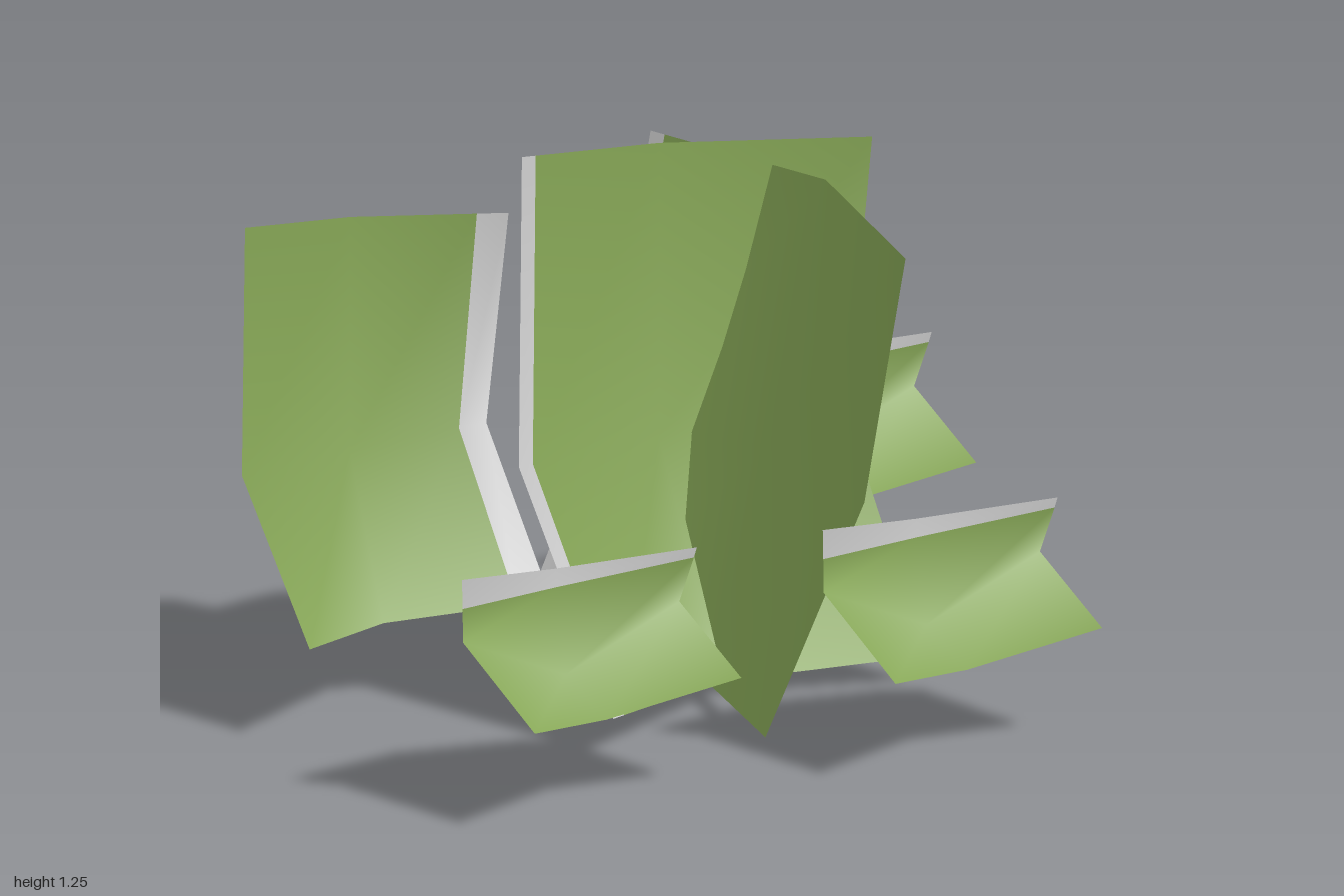
import * as THREE from 'three';

const green = new THREE.MeshStandardMaterial({ color: 0x86a656, side: THREE.DoubleSide });
green.name = 'leafGreen';
const grey = new THREE.MeshStandardMaterial({ color: 0xd0d0d0, side: THREE.DoubleSide });
grey.name = 'paleGrey';

// Smooth sheet from rows of points (top to bottom); isEdge picks the pale cells
function sheet(name, rows, isEdge) {
  const n = rows[0].length;
  const cells = [[], []];
  for (let r = 0; r < rows.length - 1; r++) {
    for (let c = 0; c < n - 1; c++) {
      const a = r * n + c, b = a + n;
      cells[isEdge(r, c) ? 1 : 0].push(a, b, a + 1, a + 1, b, b + 1);
    }
  }
  const geo = new THREE.BufferGeometry();
  geo.setAttribute('position', new THREE.Float32BufferAttribute(rows.flat(2), 3));
  geo.setIndex(cells.flat());
  geo.addGroup(0, cells[0].length, 0);
  geo.addGroup(cells[0].length, cells[1].length, 1);
  geo.computeVertexNormals();
  const mesh = new THREE.Mesh(geo, [green, grey]);
  mesh.name = name;
  return mesh;
}

// Bent blade of three columns with a pale strip along its first or last column
function blade(name, rows, width, last) {
  const mix = (p, q) => p.map((v, i) => v + (q[i] - v) * width);
  const split = rows.map(([a, b, c]) => last ? [a, b, mix(c, b), c] : [a, mix(a, b), b, c]);
  return sheet(name, split, (r, c) => c === (last ? 2 : 0));
}

export function createModel() {
  const model = new THREE.Group();
  model.name = 'grassTuft';

  // Tall blades: top, fold and bottom rows
  model.add(blade('frontBlade', [
    [[-0.43, 1.25, -0.26], [0.02, 1.175, -0.33], [0.46, 1.145, -0.14]],
    [[-0.43, 0.55, -0.27], [0.01, 0.52, -0.32], [0.44, 0.51, -0.2]],
    [[-0.48, 0.08, 0.1], [-0.02, 0.03, -0.08], [0.37, 0.06, 0.14]],
  ], 0.1, false));

  model.add(blade('crossBlade', [
    [[0.18, 1.12, -0.545], [0.285, 1.095, -0.09], [0.125, 1.055, 0.36]],
    [[0.04, 0.51, -0.545], [0.12, 0.52, -0.1], [0.03, 0.52, 0.335]],
    [[-0.23, 0.0, -0.55], [-0.03, 0.02, -0.11], [-0.225, 0.035, 0.305]],
  ], 0.08, false));

  model.add(blade('backBlade', [
    [[-0.88, 1.09, -0.65], [-0.53, 1.03, -0.71], [-0.21, 1.01, -0.56]],
    [[-0.88, 0.53, -0.66], [-0.54, 0.51, -0.7], [-0.23, 0.53, -0.61]],
    [[-0.92, 0.21, -0.39], [-0.59, 0.17, -0.53], [-0.27, 0.2, -0.35]],
  ], 0.2, true));

  // Short leaves: one shape with a pale top edge, placed three times
  const leafRows = [
    [[-0.29, 0.52, 0.03], [0, 0.48, 0], [0.29, 0.5, 0.13]],
    [[-0.28, 0.45, 0.02], [0, 0.44, 0.006], [0.29, 0.475, 0.12]],
    [[-0.27, 0.37, 0.01], [0, 0.25, 0.035], [0.3, 0.36, 0.06]],
    [[-0.29, 0.23, 0.27], [0, 0.18, 0.17], [0.27, 0.25, 0.3]],
  ];
  const spots = { rightLeaf: [-0.705, 0.17], frontLeaf: [0.12, 0.4], leftLeaf: [0.7, -0.69] };
  for (const [name, [x, z]] of Object.entries(spots)) {
    const leaf = sheet(name, leafRows, (r) => r === 0);
    leaf.position.set(x, 0, z);
    model.add(leaf);
  }
  return model;
}
